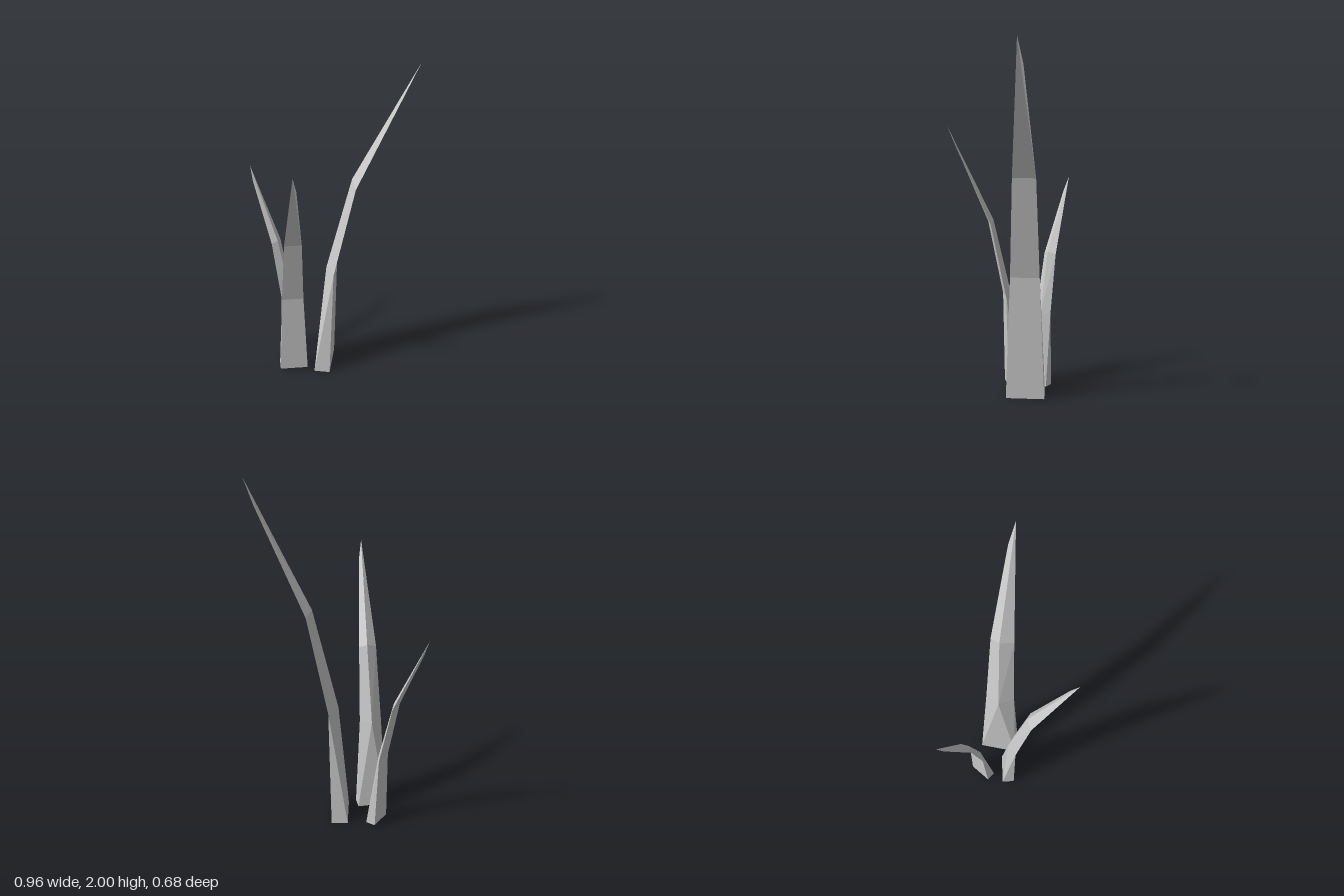
import * as THREE from 'three';

// Blade outline: rectangular foot, two triangular sections (inner ridge, back edge, front edge), offset tip
const POINTS = [
  [0, 0, -0.109], [0.093, 0, -0.109], [0.093, 0, 0.109], [0, 0, 0.109],
  [0.058, 0.7, 0.001], [0.111, 0.7, -0.081], [0.111, 0.7, 0.084],
  [0.198, 1.29, -0.011], [0.228, 1.265, -0.066], [0.228, 1.265, 0.064],
  [0.488, 1.86, -0.016], [0.543, 2, 0.012],
];

const FACES = [
  [0, 1, 2, 3], // underside
  [0, 3, 4], [0, 4, 5, 1], [1, 5, 6, 2], [3, 2, 6, 4], // foot
  [4, 7, 8, 5], [5, 8, 9, 6], [4, 6, 9, 7], // middle
  [7, 11, 10, 8], [8, 10, 11, 9], [7, 9, 11], // tip
];

function bladeGeometry() {
  const positions = [];
  for (const face of FACES) {
    for (let i = 1; i < face.length - 1; i++) {
      for (const k of [face[0], face[i], face[i + 1]]) positions.push(...POINTS[k]);
    }
  }
  const geometry = new THREE.BufferGeometry();
  geometry.setAttribute('position', new THREE.Float32BufferAttribute(positions, 3));
  geometry.computeVertexNormals();
  return geometry;
}

export function createModel() {
  const model = new THREE.Group();
  model.name = 'grassTuft';
  const geometry = bladeGeometry();
  const material = new THREE.MeshStandardMaterial({ color: 0xcccccc, flatShading: true });

  // The same blade at three sizes, each leaning outward in its own direction
  const blades = [
    { name: 'tallBlade', at: [-0.063, 0, -0.119], size: 1, turn: 0 },
    { name: 'mediumBlade', at: [-0.202, 0.02, -0.065], size: 0.755, turn: 76.3 },
    { name: 'smallBlade', at: [-0.203, 0.01, -0.17], size: 0.603, turn: 210.3 },
  ];
  for (const { name, at, size, turn } of blades) {
    const blade = new THREE.Mesh(geometry, material);
    blade.name = name;
    blade.position.set(...at);
    blade.scale.setScalar(size);
    blade.rotation.y = -THREE.MathUtils.degToRad(turn);
    model.add(blade);
  }
  return model;
}
